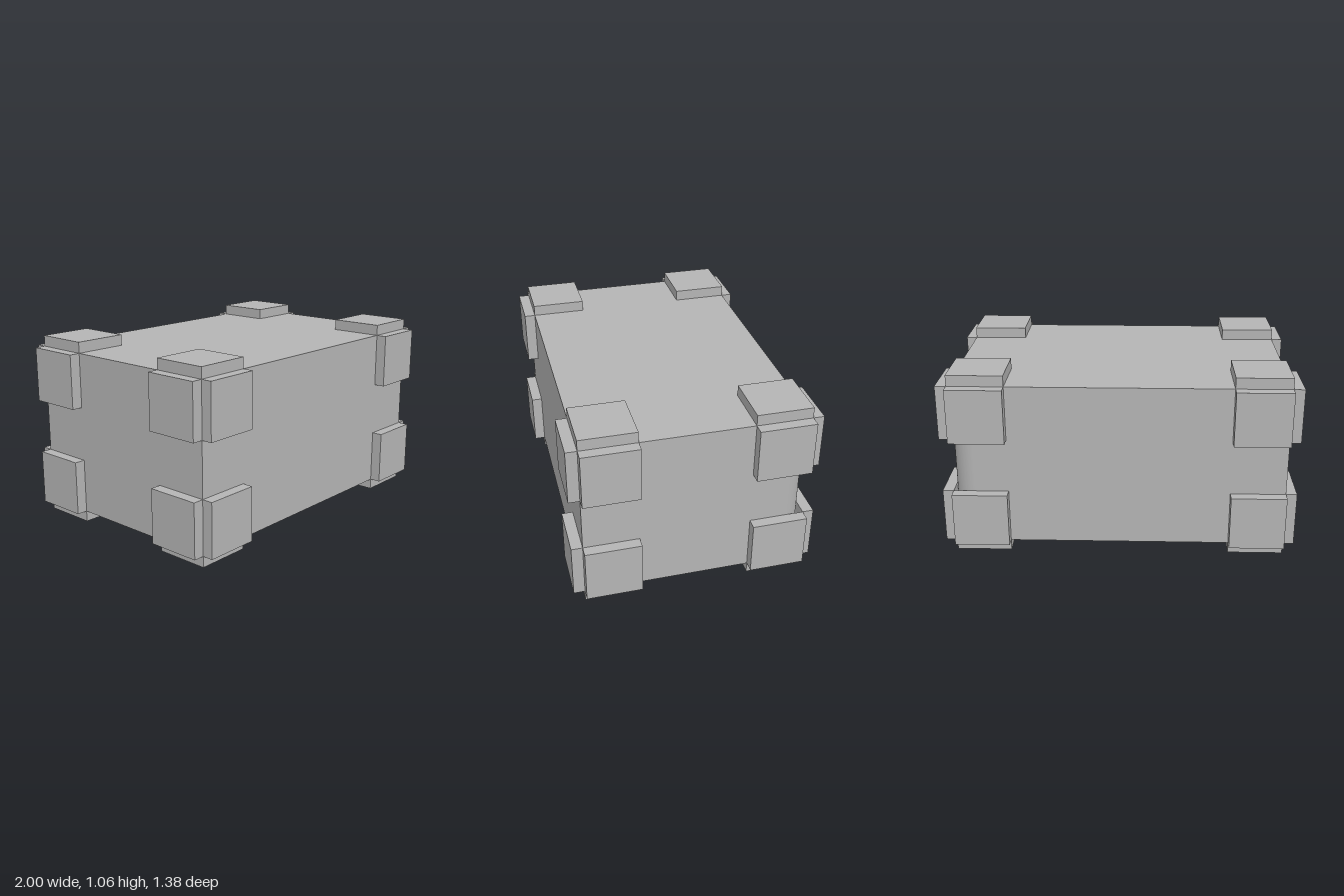
import * as THREE from 'three';
import { toCreasedNormals } from 'three/addons/utils/BufferGeometryUtils.js';

const U = 1 / 16; // design unit
const HX = 15 * U, HZ = 10 * U, H = 15 * U; // half width, half depth, height of body
const PAD = 5 * U, T = U; // pad size and thickness
const ROUND = 2 * U; // radius of the one rounded upright edge

export function createModel() {
  const group = new THREE.Group();
  group.name = 'crate';
  const grey = new THREE.MeshStandardMaterial({ color: 0xb4b4b4 });
  grey.name = 'grey';

  // Body: rectangular plan with the back +x corner rounded
  const plan = new THREE.Shape();
  plan.moveTo(-HX, -HZ);
  plan.lineTo(HX, -HZ);
  plan.lineTo(HX, HZ - ROUND);
  plan.absarc(HX - ROUND, HZ - ROUND, ROUND, 0, Math.PI / 2, false);
  plan.lineTo(-HX, HZ);
  plan.closePath();
  const bodyGeometry = new THREE.ExtrudeGeometry(plan, { depth: H, bevelEnabled: false, curveSegments: 16 });
  bodyGeometry.rotateX(-Math.PI / 2);
  bodyGeometry.translate(0, T, 0);
  const body = new THREE.Mesh(toCreasedNormals(bodyGeometry, 0.5), grey);
  body.name = 'body';
  group.add(body);

  // Corner pads: three thin square plates at each of the eight corners
  const sidePad = new THREE.BoxGeometry(T, PAD, PAD);
  const flatPad = new THREE.BoxGeometry(PAD, T, PAD);
  const facePad = new THREE.BoxGeometry(PAD, PAD, T);
  const midY = T + H / 2;
  const inX = HX - PAD / 2, inY = H / 2 - PAD / 2, inZ = HZ - PAD / 2;
  const addPad = (corner, name, geometry, x, y, z) => {
    const pad = new THREE.Mesh(geometry, grey);
    pad.name = name;
    pad.position.set(x, y, z);
    corner.add(pad);
  };
  for (const sx of [-1, 1]) for (const sy of [-1, 1]) for (const sz of [-1, 1]) {
    const corner = new THREE.Group();
    corner.name = `${sy > 0 ? 'top' : 'bottom'}${sz > 0 ? 'Front' : 'Back'}${sx > 0 ? 'Left' : 'Right'}Corner`;
    addPad(corner, 'sidePad', sidePad, sx * (HX + T / 2), midY + sy * inY, sz * inZ);
    addPad(corner, sy > 0 ? 'topPad' : 'foot', flatPad, sx * inX, midY + sy * (H / 2 + T / 2), sz * inZ);
    addPad(corner, sz > 0 ? 'frontPad' : 'backPad', facePad, sx * inX, midY + sy * inY, sz * (HZ + T / 2));
    group.add(corner);
  }
  return group;
}
